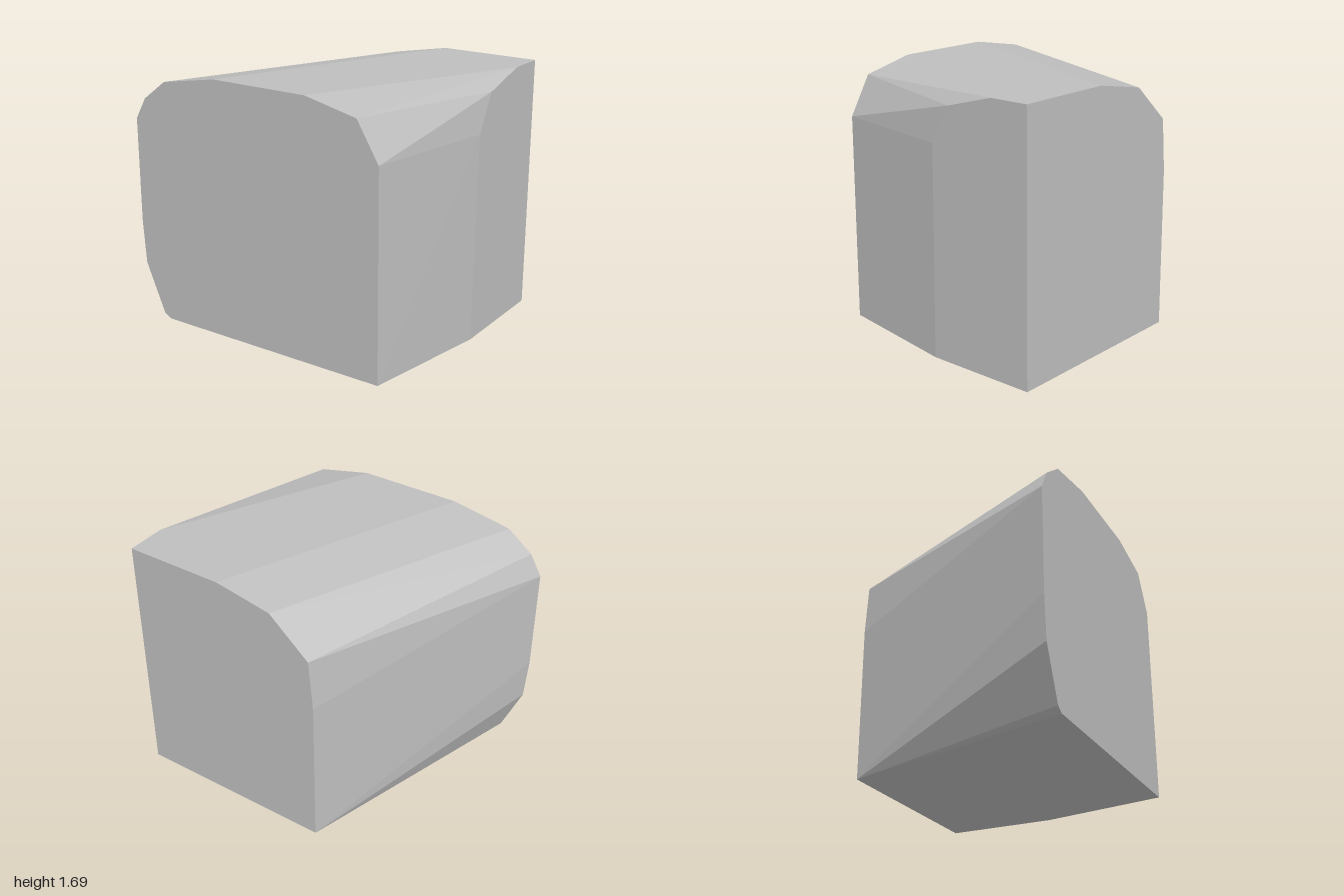
import * as THREE from 'three';
import { ConvexGeometry } from 'three/addons/geometries/ConvexGeometry.js';

export function createModel() {
  const group = new THREE.Group();
  group.name = 'slantedBlock';

  const grey = new THREE.MeshStandardMaterial({ color: 0xbebebe });
  grey.name = 'plain grey';

  // Rounded front outline, x and y
  const front = [
    [-0.79, 0], [-0.84, 0.03], [-0.98, 0.36], [-1, 0.65], [-1, 1.35], [-0.92, 1.49],
    [-0.75, 1.62], [-0.35, 1.69], [0.33, 1.69], [0.69, 1.61], [0.84, 1.36], [0.85, 0],
  ];
  // Back outline, shifted sideways and cut straight at x = 1
  const back = [
    [-0.34, 0], [-0.34, 1.04], [-0.31, 1.38], [-0.04, 1.62], [0.34, 1.69], [1, 1.69], [1, 0],
  ];
  // Where the slanted side meets the flat cut, y and z
  const cut = [[1.69, -0.54], [1.6, -0.21], [1.36, -0.08], [0, -0.06]];

  const points = [
    ...front.map(([x, y]) => new THREE.Vector3(x, y, 0.8)),
    ...back.map(([x, y]) => new THREE.Vector3(x, y, -0.8)),
    ...cut.map(([y, z]) => new THREE.Vector3(1, y, z)),
  ];

  // Faceted solid wrapped around the outlines
  const body = new THREE.Mesh(new ConvexGeometry(points), grey);
  body.name = 'body';
  group.add(body);
  return group;
}
